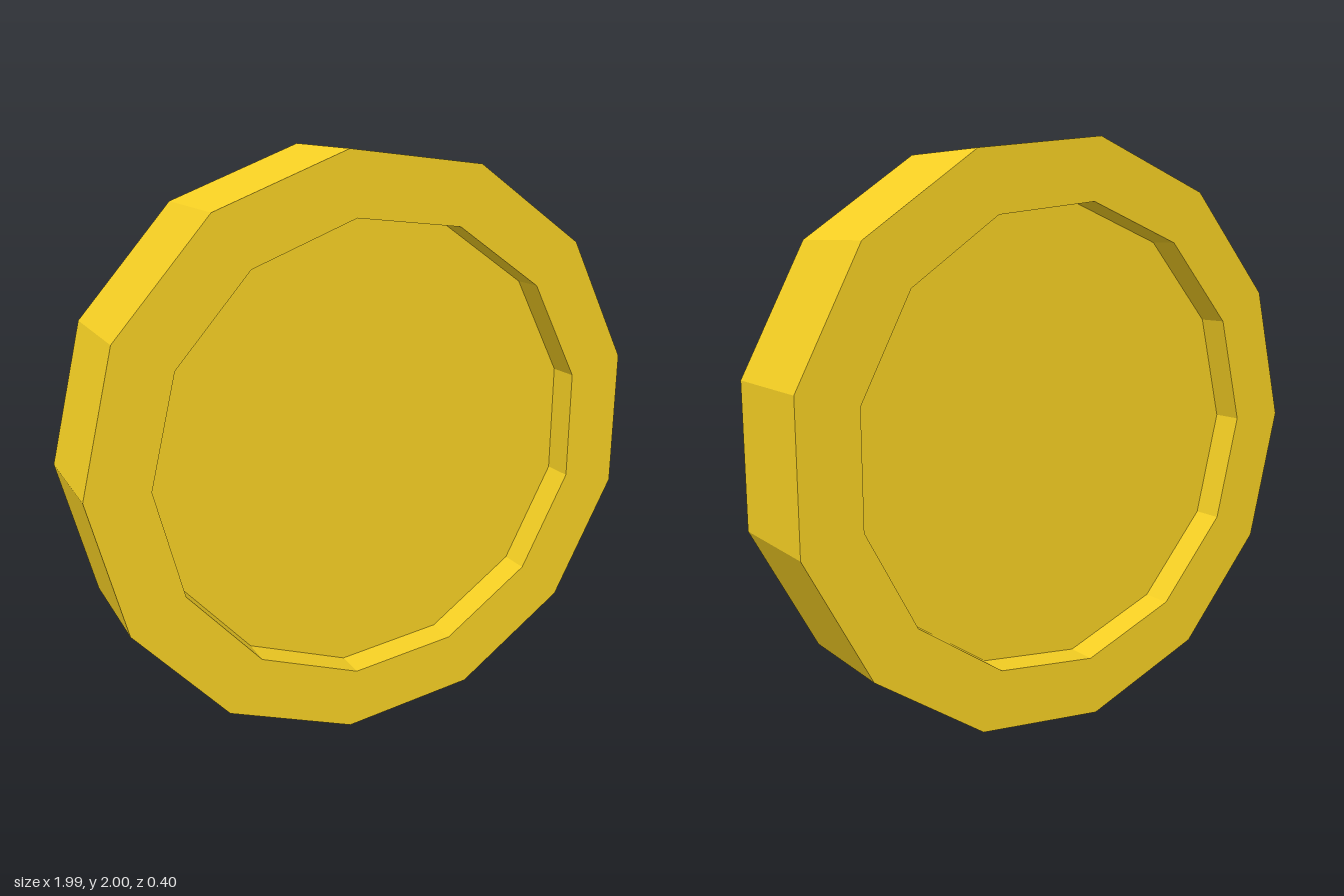
import * as THREE from 'three';

const SIDES = 13;
const OUTER = 1.0073;   // rim corner radius
const INNER = 0.796;    // recess corner radius
const HALF = 0.2;       // half the thickness
const FLOOR = 0.093;    // recessed face height from the middle

export function createModel() {
  const coin = new THREE.Group();
  coin.name = 'coin';
  const gold = new THREE.MeshStandardMaterial({ color: 0xf5cf23, flatShading: true });

  const add = (name, geometry) => {
    const mesh = new THREE.Mesh(geometry, gold);
    mesh.name = name;
    // A 13-sided outline is lopsided in x, so shift it to centre its bounds
    mesh.position.set(OUTER * (1 - Math.cos(Math.PI / SIDES)) / 2, 1, 0);
    coin.add(mesh);
  };

  // Raised rim: back recess wall, back ring, outer edge, front ring, front recess wall
  const profile = [
    [INNER, -FLOOR], [INNER, -HALF], [OUTER, -HALF],
    [OUTER, HALF], [INNER, HALF], [INNER, FLOOR],
  ].map(([r, y]) => new THREE.Vector2(r, y));
  add('rim', new THREE.LatheGeometry(profile, SIDES, -Math.PI / 2).rotateX(Math.PI / 2));

  // Recessed faces, each with a corner pointing to -x
  add('frontFace', new THREE.CircleGeometry(INNER, SIDES, Math.PI).translate(0, 0, FLOOR));
  add('backFace', new THREE.CircleGeometry(INNER, SIDES).rotateY(Math.PI).translate(0, 0, -FLOOR));

  return coin;
}
